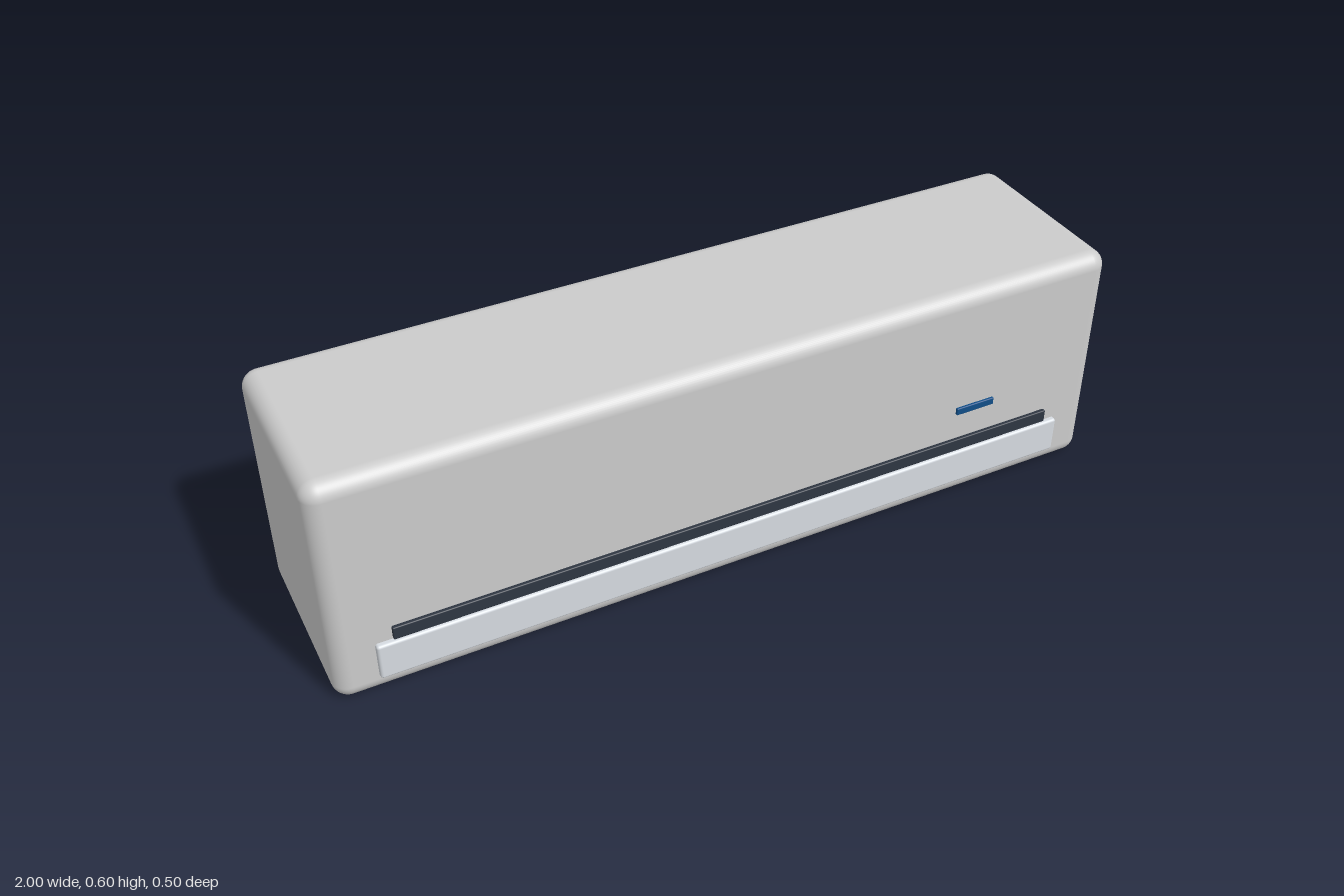
import * as THREE from 'three';
import { RoundedBoxGeometry } from 'three/addons/geometries/RoundedBoxGeometry.js';

// Rounded box given by its [min, max] extents on each axis
function roundedPart(name, [x0, x1], [y0, y1], [z0, z1], radius, segments, color) {
  const geometry = new RoundedBoxGeometry(x1 - x0, y1 - y0, z1 - z0, segments, radius);
  const mesh = new THREE.Mesh(geometry, new THREE.MeshStandardMaterial({ color }));
  mesh.name = name;
  mesh.position.set((x0 + x1) / 2, (y0 + y1) / 2, (z0 + z1) / 2);
  return mesh;
}

export function createModel() {
  const group = new THREE.Group();
  group.name = 'wallAirConditioner';
  group.add(
    // Housing with softly rounded edges
    roundedPart('housing', [-1, 1], [0, 0.602], [-0.252, 0.239], 0.04, 6, 0xcccccc),
    // Air flap along the lower front, its back sunk into the housing
    roundedPart('airFlap', [-0.9, 0.9], [0.049, 0.145], [0.232, 0.253], 0.007, 4, 0xd6dbe1),
    // Dark outlet strip above the flap
    roundedPart('outletStrip', [-0.86, 0.86], [0.152, 0.186], [0.242, 0.253], 0.003, 3, 0x2e3642),
    // Small blue status display
    roundedPart('statusDisplay', [0.585, 0.692], [0.261, 0.281], [0.243, 0.251], 0.003, 3, 0x104e88),
  );
  return group;
}
